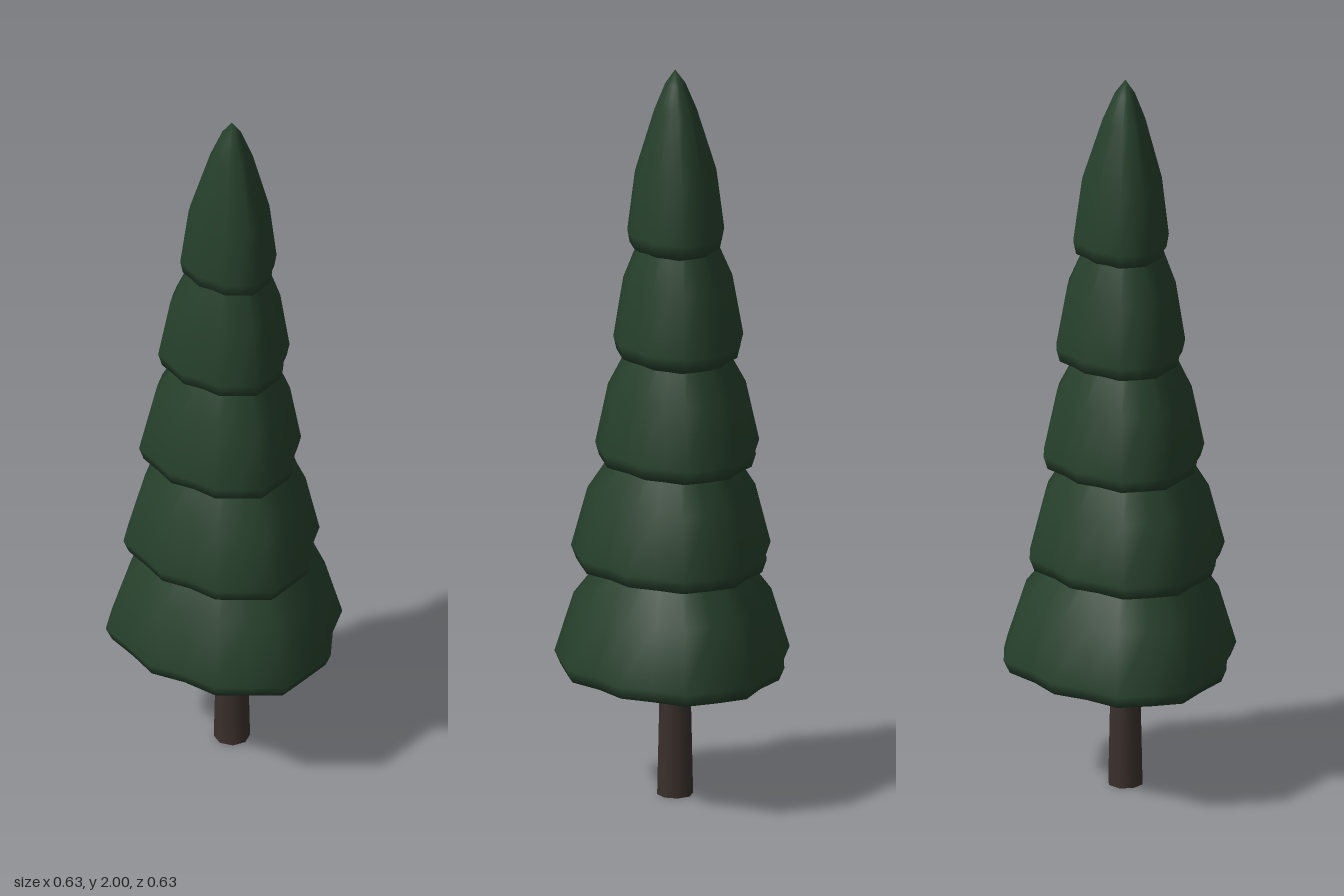
import * as THREE from 'three';

const AXIS_Z = -0.02;

// Rim outline seen from above, right half from back to front, normalised to about 1
const HALF_RIM = [
  [0, -0.95], [0.31, -0.86], [0.635, -0.825], [0.83, -0.6], [1, -0.365], [0.94, -0.05],
  [0.905, 0.255], [0.7, 0.5], [0.54, 0.795], [0.28, 0.92], [0, 1.05],
];
const RIM = [...HALF_RIM, ...HALF_RIM.slice(1, -1).reverse().map(([x, z]) => [-x, z])];

// Tier cross-section: [radius factor, height above the rim], underside to top
const SECTION = [[0.5, -0.07], [0.95, -0.035], [1, 0], [0.84, 0.165], [0.46, 0.34], [0.22, 0.415]];
const BOTTOM = -0.115, TOP = 0.455;

// rim height, half width, half depth, sideways and depth offset of the rim, height stretch
const TIERS = [
  [0.37, 0.315, 0.315, 0, 0, 1],
  [0.66, 0.26, 0.268, -0.015, 0.008, 1],
  [0.95, 0.215, 0.22, -0.015, -0.008, 1],
  [1.25, 0.175, 0.174, -0.005, -0.012, 1],
  [1.55, 0.128, 0.13, 0.002, -0.006, 0.99],
];

// One lobed, bell-shaped tier closed by a pole at each end
function tierGeometry([y, w, d, ox, oz, stretch]) {
  const n = RIM.length, pos = [], index = [];
  for (const [f, h] of SECTION) {
    for (const [x, z] of RIM) {
      const round = 0.94 / Math.hypot(x, z);
      const soft = f < 0.8 ? 0.5 : 0; // lobes fade towards the axis
      const k = 1 + (round - 1) * soft;
      pos.push(f * (x * k * w + ox), y + h * stretch, AXIS_Z + f * (z * k * d + oz));
    }
  }
  const last = (SECTION.length - 1) * n, low = SECTION.length * n, high = low + 1;
  pos.push(0, y + BOTTOM, AXIS_Z, 0, y + TOP * stretch, AXIS_Z);
  for (let i = 0; i < n; i++) {
    const j = (i + 1) % n;
    for (let r = 0; r < last; r += n) {
      index.push(r + i, r + n + i, r + j, r + j, r + n + i, r + n + j);
    }
    index.push(low, i, j, last + i, high, last + j);
  }
  const g = new THREE.BufferGeometry();
  g.setAttribute('position', new THREE.Float32BufferAttribute(pos, 3));
  g.setIndex(index);
  g.computeVertexNormals();
  return g;
}

export function createModel() {
  const tree = new THREE.Group();
  tree.name = 'firTree';
  const needles = new THREE.MeshStandardMaterial({ color: 0x263f2b });
  const bark = new THREE.MeshStandardMaterial({ color: 0x3a302b });

  // Trunk
  const trunk = new THREE.Mesh(new THREE.CylinderGeometry(0.04, 0.048, 0.36, 8), bark);
  trunk.name = 'trunk';
  trunk.rotation.y = Math.PI / 8;
  trunk.position.set(0, 0.18, AXIS_Z);
  tree.add(trunk);

  // Foliage tiers, bottom to top
  TIERS.forEach((tier, i) => {
    const mesh = new THREE.Mesh(tierGeometry(tier), needles);
    mesh.name = `foliageTier${i + 1}`;
    tree.add(mesh);
  });
  return tree;
}
